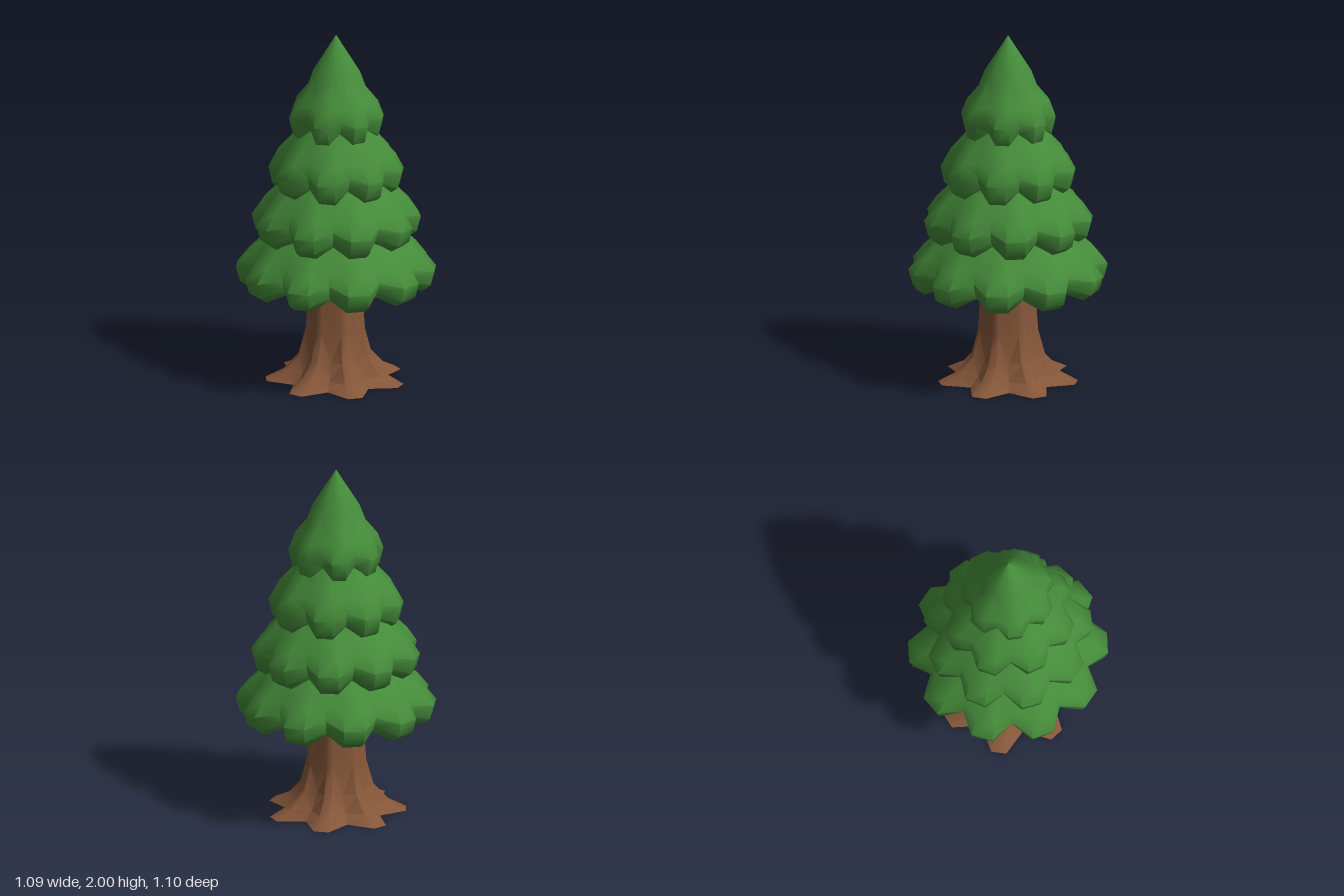
import * as THREE from 'three';
import { toCreasedNormals } from 'three/addons/utils/BufferGeometryUtils.js';

const rad = THREE.MathUtils.degToRad;

// Skin of scalloped rings, listed from bottom to top.
// Each ring: [tip radius, tip height, notch radius, notch height].
// Every lobe has a flat tip (two corners) and one notch.
function lobedSkin(rings, lobes, startDeg, tipShare, crease) {
  const step = (Math.PI * 2) / lobes;
  const n = lobes * 3;
  const pos = [];
  const index = [];
  for (const [tipR, tipY, notchR, notchY] of rings) {
    for (let i = 0; i < lobes; i++) {
      const mid = rad(startDeg) + i * step;
      const corners = [
        [mid - tipShare * step, tipR, tipY],
        [mid + tipShare * step, tipR, tipY],
        [mid + step / 2, notchR, notchY],
      ];
      for (const [a, r, y] of corners) pos.push(Math.cos(a) * r, y, Math.sin(a) * r);
    }
  }
  for (let j = 0; j < rings.length - 1; j++) {
    for (let i = 0; i < n; i++) {
      const a = j * n + i;
      const b = j * n + ((i + 1) % n);
      // mirror the diagonal on either side of a lobe
      if (i % 3 === 2) index.push(a, a + n, b + n, a, b + n, b);
      else index.push(a, a + n, b, b, a + n, b + n);
    }
  }
  const geo = new THREE.BufferGeometry();
  geo.setAttribute('position', new THREE.Float32BufferAttribute(pos, 3));
  geo.setIndex(index);
  return toCreasedNormals(geo, rad(crease));
}

// One layer of drooping boughs: hollow underside, thick rim, cone above
function boughTier(radius, base, rimHeight, apex, lobes, startDeg) {
  const R = radius;
  const ring = (dr, dy, notch, lift) =>
    [R - dr, base + dy, R - dr - notch * R, base + dy + lift];
  const shoulder = 0.19 * R + 0.01;
  const rings = [
    [0.002, base + 0.17, 0.002, base + 0.17],
    ring(0.07, 0, 0.13, 0.05),
    ring(0.022, 0.035, 0.17, 0.05),
    ring(0, rimHeight, 0.175, 0.03),
    ring(0.12 * R, rimHeight + 0.085, 0.11, 0.015),
    ring(shoulder + 0.04, rimHeight + 0.17, 0.03, 0),
    ring(0.5 * R, rimHeight + 0.17 + (apex - base - rimHeight - 0.17) * 0.29, 0.01, 0),
    [0.001, apex, 0.001, apex],
  ];
  return lobedSkin(rings, lobes, startDeg, 0.175, 58);
}

export function createModel() {
  const tree = new THREE.Group();
  tree.name = 'pineTree';
  const leaf = new THREE.MeshStandardMaterial({ color: 0x458c3a, side: THREE.DoubleSide });
  const bark = new THREE.MeshStandardMaterial({ color: 0x855639, side: THREE.DoubleSide });

  // Trunk flaring into seven roots, open underneath
  const trunkRings = [
    [0.39, 0, 0.27, 0],
    [0.29, 0.05, 0.215, 0.05],
    [0.208, 0.14, 0.165, 0.14],
    [0.168, 0.29, 0.14, 0.29],
    [0.15, 0.57, 0.127, 0.57],
    [0.147, 0.75, 0.125, 0.75],
  ];
  const trunk = new THREE.Mesh(lobedSkin(trunkRings, 7, 0, 0.12, 45), bark);
  trunk.name = 'trunk';
  tree.add(trunk);

  // Four layers, smaller and with fewer lobes towards the top
  const tiers = [
    ['lowestBoughs', 0.555, 0.535, 0.115, 1.25, 10, 90],
    ['lowerBoughs', 0.47, 0.82, 0.12, 1.5, 9, 90],
    ['upperBoughs', 0.375, 1.1, 0.13, 1.74, 8, -59],
    ['topBoughs', 0.265, 1.4, 0.13, 2, 7, -68],
  ];
  for (const [name, ...shape] of tiers) {
    const tier = new THREE.Mesh(boughTier(...shape), leaf);
    tier.name = name;
    tree.add(tier);
  }
  return tree;
}
